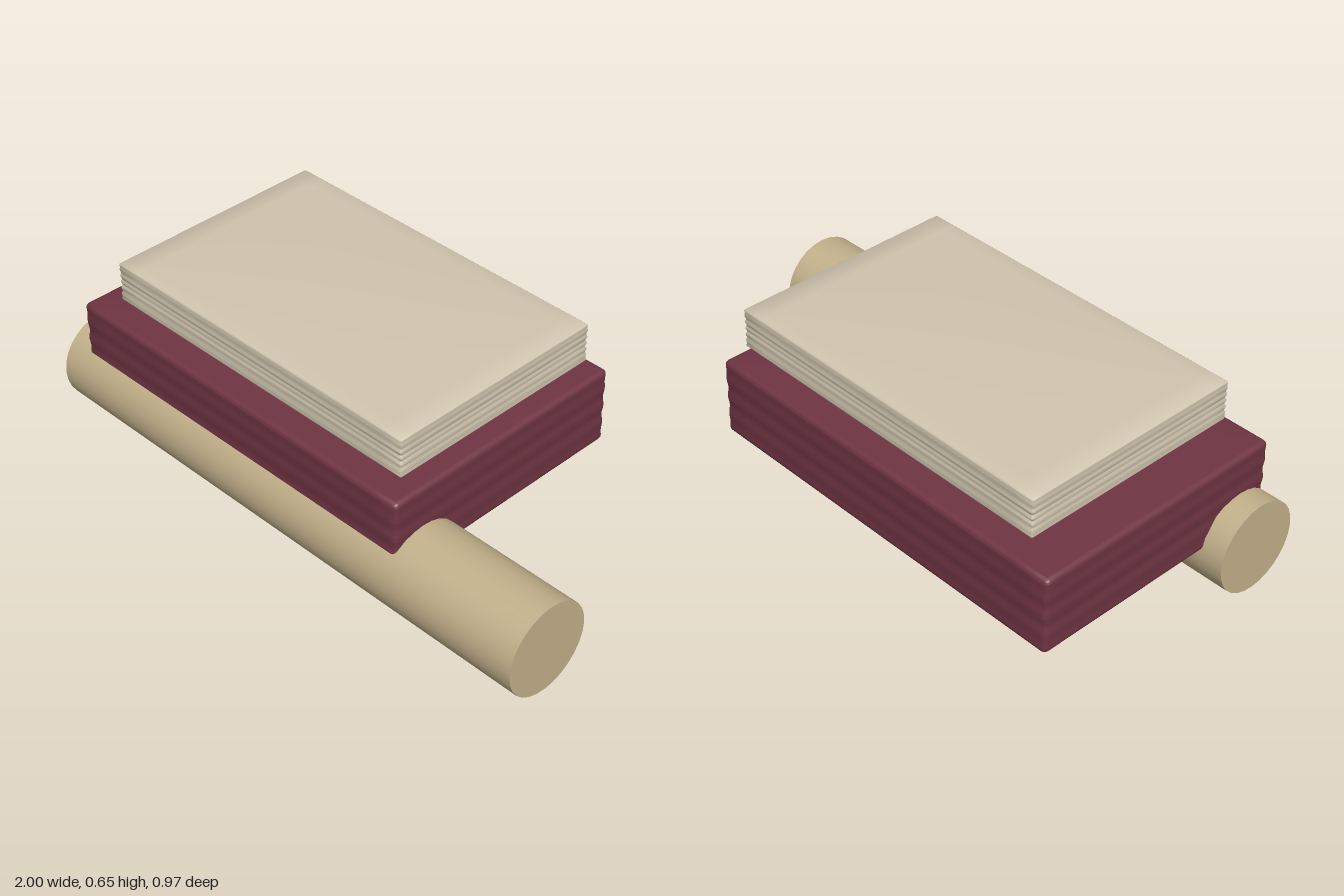
import * as THREE from 'three';
import { mergeVertices, toCreasedNormals } from 'three/addons/utils/BufferGeometryUtils.js';

// Soft block: rounded edges, bulging top and bottom, faint horizontal ripples on the sides
function softBlock({ size, radius, bulge, ripples, depth }) {
  const bands = 3;
  const segs = [22, 50, 22];
  const half = size.map((s) => s / 2);
  let geo = new THREE.BoxGeometry(2, 2, 2, ...segs);
  geo.deleteAttribute('uv');
  geo.deleteAttribute('normal');
  geo = mergeVertices(geo);
  const pos = geo.attributes.position;

  // The outer few segments cover the rounding, the rest spread over the flat
  const remap = (t, axis) => {
    const n = segs[axis] / 2;
    const k = Math.abs(t) * n;
    const flat = half[axis] - radius;
    const d = k <= n - bands ? (flat * k) / (n - bands) : flat + (radius * (k - n + bands)) / bands;
    return Math.sign(t) * d;
  };

  for (let i = 0; i < pos.count; i++) {
    const p = new THREE.Vector3(remap(pos.getX(i), 0), remap(pos.getY(i), 1), remap(pos.getZ(i), 2));
    const lim = new THREE.Vector3(...half).subScalar(radius);
    const core = p.clone().clamp(lim.clone().negate(), lim);
    p.sub(core).setLength(radius).add(core);
    const u = p.x / half[0], w = p.z / half[2], v = p.y / half[1];
    const dome = (1 - u * u) * (1 - w * w);
    const inset = depth * (0.5 - 0.5 * Math.cos(Math.PI * ripples * (v + 1))) * (1 - v * v);
    if (Math.abs(u) > 0.97) p.x -= Math.sign(u) * inset;
    if (Math.abs(w) > 0.97) p.z -= Math.sign(w) * inset;
    // Only the top and bottom faces bulge
    if (Math.abs(p.y) > lim.y) p.y += Math.sign(v) * bulge * dome;
    pos.setXYZ(i, p.x, p.y, p.z);
  }
  return toCreasedNormals(geo, 0.7);
}

export function createModel() {
  const group = new THREE.Group();
  const add = (name, geometry, color, x, y, z) => {
    const mesh = new THREE.Mesh(geometry, new THREE.MeshStandardMaterial({ color }));
    mesh.name = name;
    mesh.position.set(x, y, z);
    group.add(mesh);
    return mesh;
  };

  // Round log lying along x
  const log = new THREE.CylinderGeometry(0.158, 0.158, 2, 28).rotateZ(Math.PI / 2);
  add('log', log, 0xc2b08a, 0, 0.158, 0.33);

  // Dark red lower block
  add('lowerBlock', softBlock({
    size: [1.425, 0.273, 0.932], radius: 0.018, bulge: 0.011, ripples: 4, depth: 0.003,
  }), 0x6e3442, -0.207, 0.319, -0.02);

  // Pale upper block, floating just above
  add('upperBlock', softBlock({
    size: [1.262, 0.138, 0.808], radius: 0.006, bulge: 0.016, ripples: 6, depth: 0.004,
  }), 0xcfc4ae, -0.166, 0.569, -0.02);

  return group;
}
